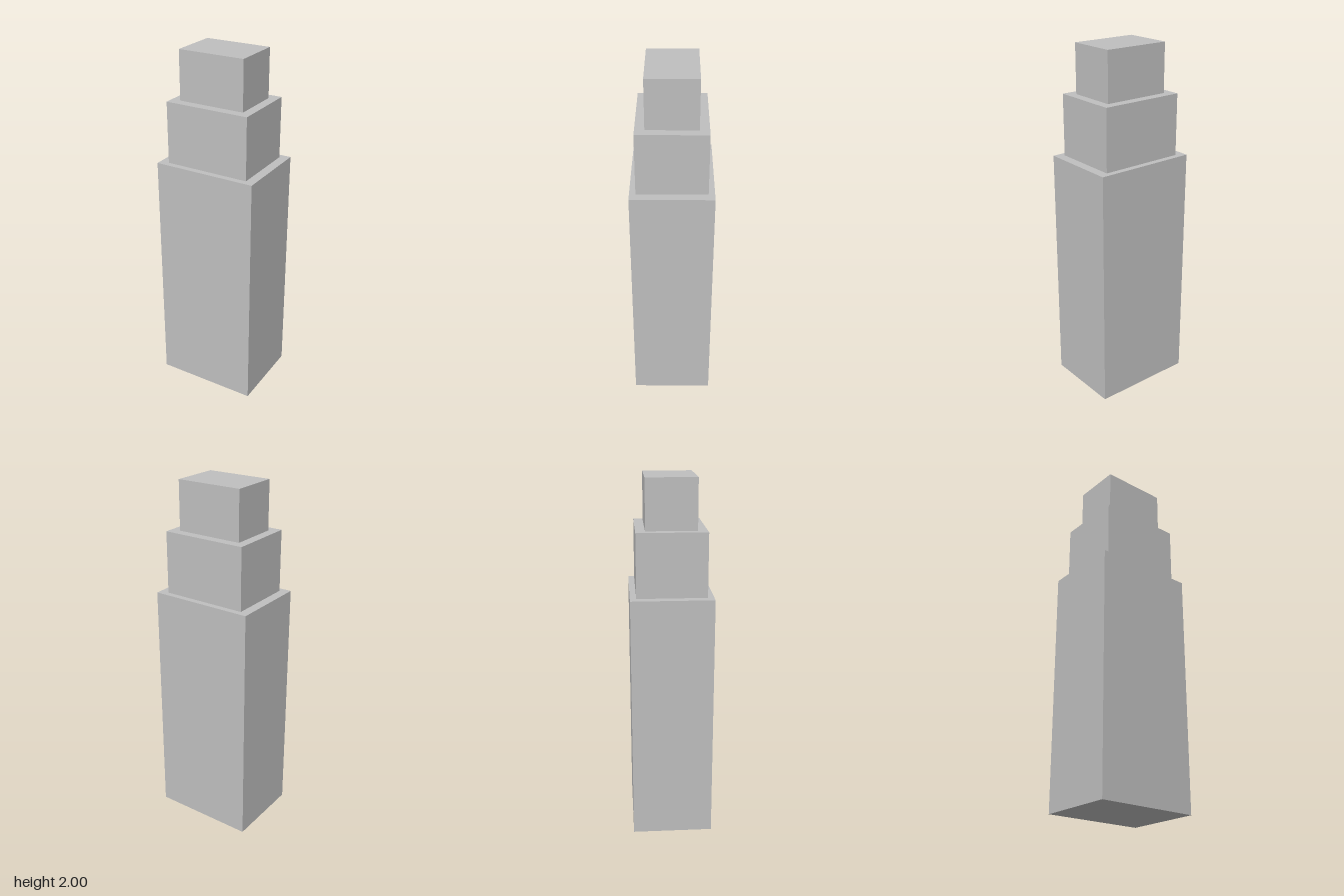
import * as THREE from 'three';

export function createModel() {
  const group = new THREE.Group();
  group.name = 'steppedTower';
  const grey = new THREE.MeshStandardMaterial({ color: 0xbfbfbf });
  grey.name = 'grey';

  // Stacked tiers: name, width, depth, bottom, top
  const tiers = [
    ['lowerTier', 0.587, 0.448, 0, 1.38],
    ['middleTier', 0.483, 0.38, 1.38, 1.727],
    ['upperTier', 0.38, 0.276, 1.727, 2],
  ];
  for (const [name, width, depth, bottom, top] of tiers) {
    const tier = new THREE.Mesh(new THREE.BoxGeometry(width, top - bottom, depth), grey);
    tier.name = name;
    tier.position.y = (bottom + top) / 2;
    group.add(tier);
  }
  return group;
}
